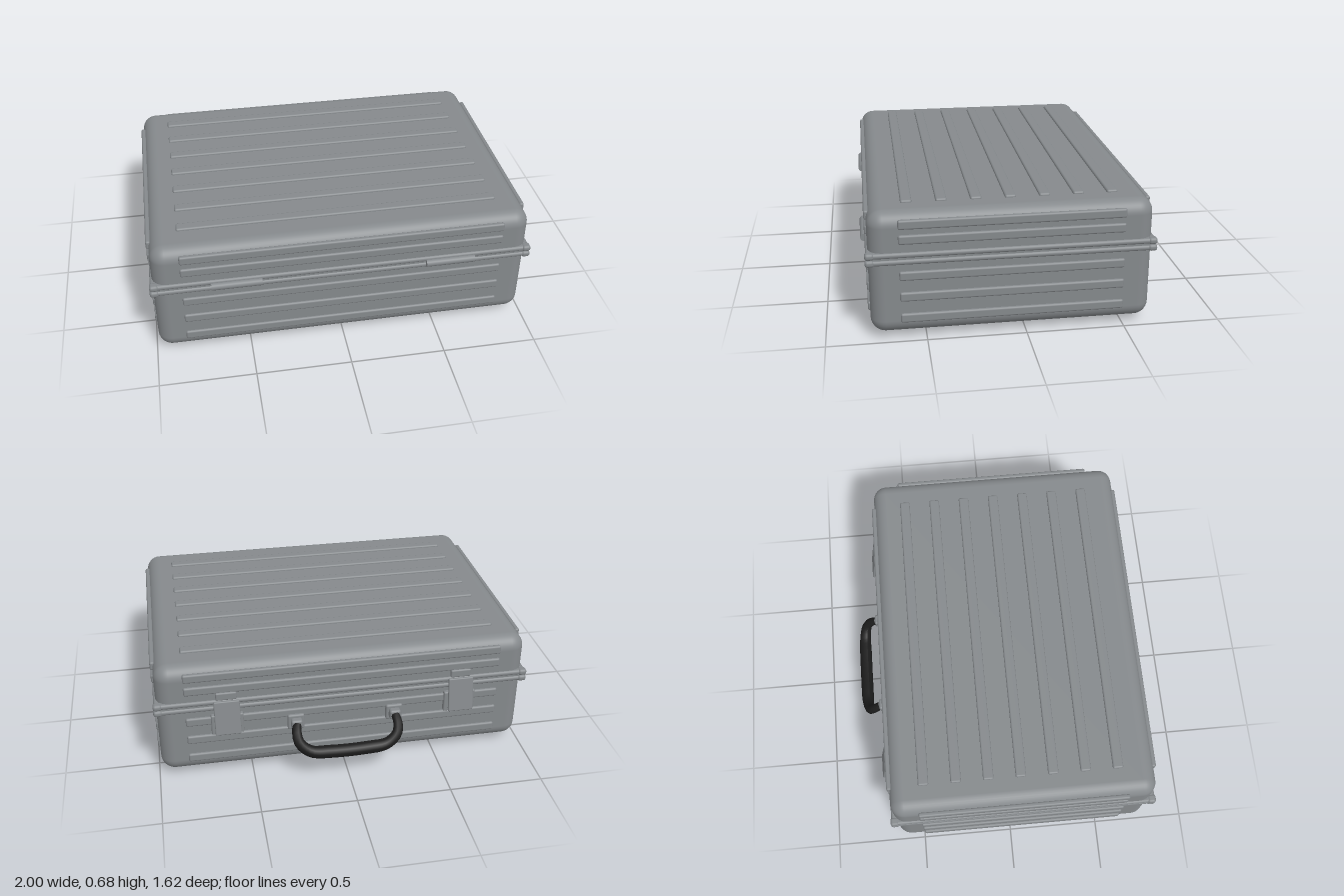
import * as THREE from 'three';
import { RoundedBoxGeometry } from 'three/addons/geometries/RoundedBoxGeometry.js';

const shellMat = new THREE.MeshStandardMaterial({ color: 0x85898c });
shellMat.name = 'aluminium grey';
const blackMat = new THREE.MeshStandardMaterial({ color: 0x1c1c1c });
blackMat.name = 'rubber black';

const CZ = 0.0675; // centre of the case body in z

export function createModel() {
  const model = new THREE.Group();
  model.name = 'briefcase';

  const add = (name, geometry, material, x, y, z, parent = model) => {
    const mesh = new THREE.Mesh(geometry, material);
    mesh.name = name;
    mesh.position.set(x, y, z);
    parent.add(mesh);
    return mesh;
  };
  const rounded = (w, h, d, r, seg = 2) => new RoundedBoxGeometry(w, h, d, seg, r);

  // Case body
  add('caseBody', rounded(1.97, 0.64, 1.415, 0.075, 5), shellMat, 0, 0.35, CZ);

  // Two closing lips with corner caps, either side of the seam
  for (const [name, y] of [['lowerLip', 0.421], ['upperLip', 0.457]]) {
    add(name, rounded(1.992, 0.028, 1.436, 0.013), shellMat, 0, y, CZ);
    for (const sx of [-1, 1]) for (const sz of [-1, 1]) {
      add(name + 'Corner', rounded(0.046, 0.034, 0.046, 0.014), shellMat, sx * 0.977, y, CZ + sz * 0.7);
    }
  }
  add('seamStrip', new THREE.BoxGeometry(1.976, 0.02, 1.421), shellMat, 0, 0.439, CZ);

  // Raised ribs on the top and bottom
  const flatRib = rounded(1.68, 0.026, 0.056, 0.01);
  for (let i = 0; i < 7; i++) {
    const z = -0.455 + i * 0.172;
    add('topRib', flatRib, shellMat, 0, 0.669, z);
    add('bottomRib', flatRib, shellMat, 0, 0.031, z);
  }

  // Raised ribs around the four walls
  const longRib = rounded(1.68, 0.048, 0.026, 0.01);
  const sideRib = rounded(0.026, 0.048, 1.12, 0.01);
  for (const y of [0.123, 0.237, 0.348, 0.537, 0.614]) {
    add('frontRib', longRib, shellMat, 0, y, 0.773);
    add('backRib', longRib, shellMat, 0, y, -0.64);
    for (const s of [-1, 1]) add('sideRib', sideRib, shellMat, s * 0.985, y, CZ);
  }

  for (const s of [-1, 1]) {
    // Hinge barrel and its leaf
    const barrel = add('hingeBarrel', new THREE.CylinderGeometry(0.02, 0.02, 0.26, 16), shellMat, s * 0.56, 0.438, 0.788);
    barrel.rotation.z = Math.PI / 2;

    // Latch: base plate, sloping lever, thick foot and lid catch
    const latch = new THREE.Group();
    latch.name = 'latch';
    latch.position.x = s * 0.625;
    model.add(latch);
    add('latchBase', rounded(0.17, 0.12, 0.03, 0.008), shellMat, 0, 0.325, -0.648, latch);
    const lever = add('latchLever', rounded(0.135, 0.19, 0.016, 0.006), shellMat, 0, 0.378, -0.678, latch);
    lever.rotation.x = 0.16;
    add('latchFoot', rounded(0.12, 0.035, 0.045, 0.008), shellMat, 0, 0.295, -0.67, latch);
    add('latchCatch', rounded(0.11, 0.045, 0.022, 0.008), shellMat, 0, 0.497, -0.651, latch);

    // Handle bracket and pivot
    add('handleBracket', rounded(0.09, 0.09, 0.03, 0.01), shellMat, s * 0.265, 0.297, -0.653);
    add('handleLug', rounded(0.06, 0.055, 0.05, 0.012), shellMat, s * 0.265, 0.297, -0.675);

    // Feet
    for (const z of [0.54, -0.408]) {
      add('foot', new THREE.CylinderGeometry(0.056, 0.052, 0.035, 20), blackMat, s * 0.73, 0.0175, z);
    }
  }

  // Handle: a bent tube that swells towards the middle of the grip
  const half = [[0.265, 0.298, -0.69], [0.272, 0.272, -0.726], [0.262, 0.225, -0.758], [0.205, 0.178, -0.775], [0.1, 0.166, -0.778]];
  const points = [
    ...half.map(([x, y, z]) => new THREE.Vector3(-x, y, z)),
    ...half.slice().reverse().map(p => new THREE.Vector3(...p)),
  ];
  const curve = new THREE.CatmullRomCurve3(points);
  const rings = 32, sides = 10;
  const grip = new THREE.TubeGeometry(curve, rings, 1, sides, false);
  const pos = grip.attributes.position;
  const v = new THREE.Vector3();
  for (let i = 0; i < pos.count; i++) {
    const t = Math.floor(i / (sides + 1)) / rings;
    const centre = curve.getPointAt(t);
    const radius = 0.023 + 0.012 * Math.min(1, 3.2 * Math.min(t, 1 - t));
    v.fromBufferAttribute(pos, i).sub(centre).multiplyScalar(radius).add(centre);
    pos.setXYZ(i, v.x, v.y, v.z);
  }
  grip.computeVertexNormals();
  add('handle', grip, blackMat, 0, 0, 0);

  return model;
}
